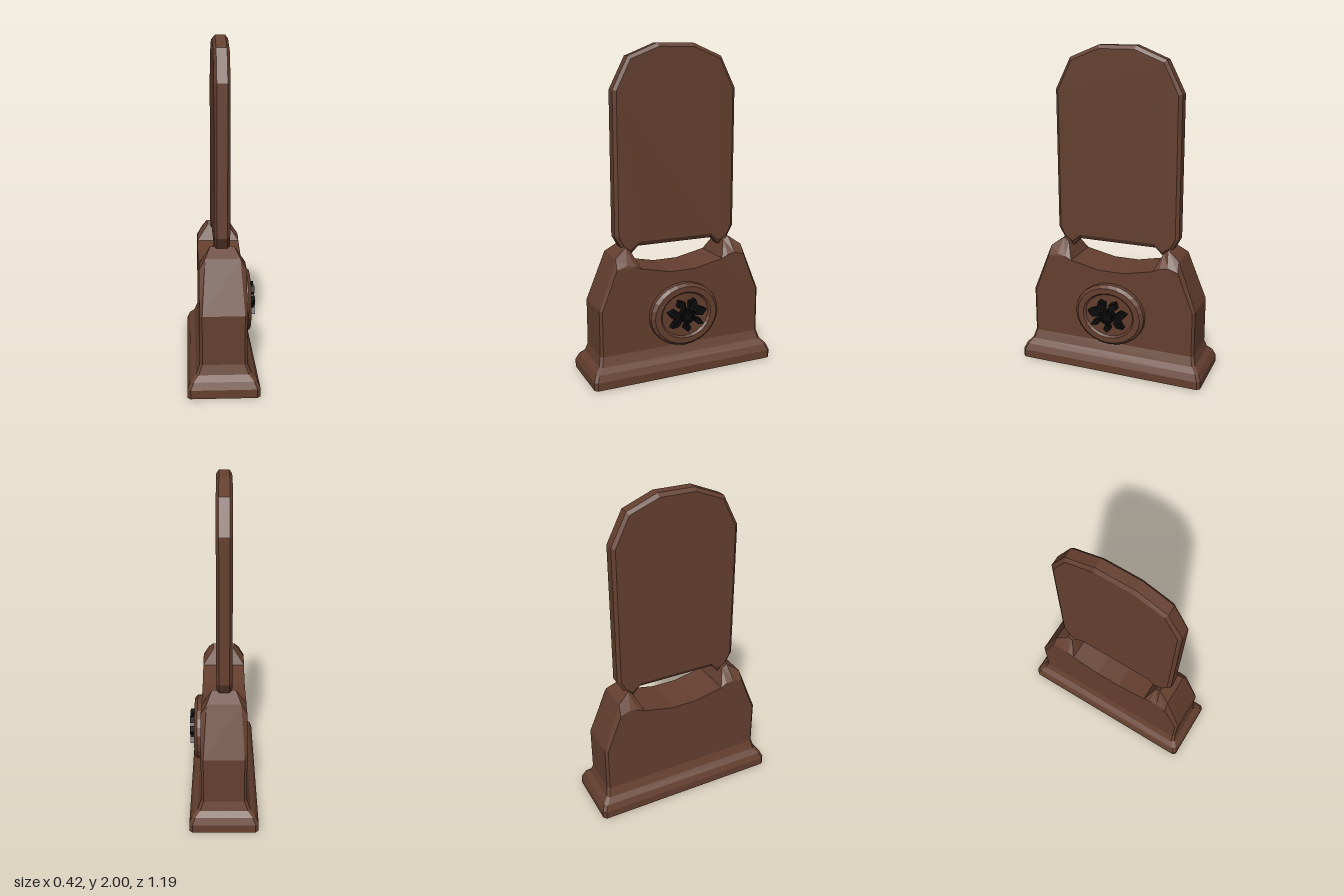
import * as THREE from 'three';

const CX = -0.006; // the stone sits slightly off centre to balance the medallion

// Joins rings of [u, v, w] points into a closed solid; w runs along the given axis.
function loft(rings, axis) {
  const place = ([u, v, w]) => (axis === 'x' ? [w, v, u] : [u, w, v]);
  const pos = [];
  const tri = (...pts) => {
    const [a, b, c] = pts.map((p) => new THREE.Vector3(...place(p)));
    if (b.clone().sub(a).cross(c.clone().sub(a)).length() < 1e-8) return;
    for (const p of [a, b, c]) pos.push(p.x, p.y, p.z);
  };
  for (let k = 0; k < rings.length - 1; k++) {
    const a = rings[k], b = rings[k + 1];
    a.forEach((_, i) => {
      const j = (i + 1) % a.length;
      tri(a[i], b[i], b[j]);
      tri(a[i], b[j], a[j]);
    });
  }
  const first = rings[0], last = rings[rings.length - 1];
  const cap = (ring) => THREE.ShapeUtils.triangulateShape(ring.map(([u, v]) => new THREE.Vector2(u, v)), []);
  for (const [a, b, c] of cap(first)) tri(first[a], first[b], first[c]);
  for (const [a, b, c] of cap(last)) tri(last[c], last[b], last[a]);
  const g = new THREE.BufferGeometry();
  g.setAttribute('position', new THREE.Float32BufferAttribute(pos, 3));
  g.computeVertexNormals();
  return g;
}

// Upright slab with chamfered rim: half outlines [z, y, halfThickness] mirrored in z.
function chamferedSlab(edge, face) {
  const mirror = (half) => [...half, ...half.map(([z, y, w]) => [-z, y, w]).reverse()];
  const flip = (ring) => ring.map(([z, y, w]) => [z, y, -w]);
  const e = mirror(edge), f = mirror(face);
  return loft([flip(f), flip(e), e, f], 'x');
}

export function createModel() {
  const group = new THREE.Group();
  const brown = new THREE.MeshStandardMaterial({ color: 0x643f2f });
  brown.name = 'brownStone';
  brown.flatShading = true;
  const black = new THREE.MeshStandardMaterial({ color: 0x0a0a0a });
  black.name = 'blackInlay';
  black.flatShading = true;
  const add = (name, geometry, material, x, y = 0, parent = group) => {
    const mesh = new THREE.Mesh(geometry, material);
    mesh.name = name;
    mesh.position.set(x, y, 0);
    parent.add(mesh);
    return mesh;
  };

  // Flared plinth: rectangles with cut corners, [y, half width, half length, cut]
  const plinthRings = [
    [0, 0.205, 0.597, 0.018], [0.05, 0.205, 0.597, 0.018], [0.09, 0.188, 0.58, 0.018],
    [0.12, 0.157, 0.55, 0.016], [0.175, 0.135, 0.535, 0.015],
  ].map(([y, a, b, c]) => [
    [a, -b + c], [a, b - c], [a - c, b], [-a + c, b],
    [-a, b - c], [-a, -b + c], [-a + c, -b], [a - c, -b],
  ].map(([x, z]) => [x, z, y]));
  add('plinth', loft(plinthRings, 'y'), brown, CX);

  // Body with two horns and a saddle between them
  add('body', chamferedSlab(
    [[0.535, 0.17, 0.12], [0.535, 0.46, 0.12], [0.42, 0.76, 0.1], [0.345, 0.814, 0.07],
      [0.315, 0.79, 0.065], [0.27, 0.69, 0.135], [0.08, 0.65, 0.135]],
    [[0.52, 0.17, 0.135], [0.52, 0.457, 0.135], [0.425, 0.7, 0.135], [0.36, 0.72, 0.132],
      [0.31, 0.71, 0.135], [0.27, 0.69, 0.135], [0.08, 0.65, 0.135]],
  ), brown, CX);

  // Tall tablet standing on the horns
  add('tablet', chamferedSlab(
    [[0.25, 0.805, 0.03], [0.3, 0.755, 0.03], [0.36, 0.805, 0.03], [0.397, 0.87, 0.03],
      [0.397, 1.735, 0.03], [0.3, 1.925, 0.03], [0.115, 2, 0.03]],
    [[0.24, 0.832, 0.046], [0.3, 0.785, 0.046], [0.345, 0.815, 0.046], [0.377, 0.876, 0.046],
      [0.377, 1.73, 0.046], [0.288, 1.908, 0.046], [0.11, 1.978, 0.046]],
  ), brown, -0.008);

  // Oval medallion with a raised rim
  const profile = [[0.225, -0.01], [0.225, 0.03], [0.205, 0.049], [0.167, 0.049], [0.155, 0.036], [0, 0.036]];
  const disc = new THREE.LatheGeometry(profile.map(([r, h]) => new THREE.Vector2(r, h)), 24);
  disc.rotateZ(-Math.PI / 2);
  disc.scale(1, 0.88, 1);
  add('medallion', disc, brown, 0.13, 0.377);

  // Sunburst inlay on the medallion
  const inlay = new THREE.Group();
  inlay.name = 'sunburst';
  inlay.position.set(0.16, 0.377, 0);
  group.add(inlay);
  const raise = (shape) => new THREE.ExtrudeGeometry(shape, { depth: 0.048, bevelEnabled: false, curveSegments: 10 })
    .rotateY(Math.PI / 2);
  const ring = new THREE.Shape().absarc(0, 0, 0.046, 0, Math.PI * 2);
  ring.holes.push(new THREE.Path().absarc(0, 0, 0.036, 0, Math.PI * 2, true));
  add('sunburstRing', raise(ring), black, 0, 0, inlay);
  add('sunburstCentre', raise(new THREE.Shape().absarc(0, 0, 0.029, 0, Math.PI * 2)), black, 0, 0, inlay);

  // Petals: angle in degrees, tip radius, half width
  const petals = [[270, 0.1, 0.022]];
  for (const [angle, tip, w] of [[62, 0.114, 0.028], [13, 0.13, 0.028], [-30, 0.124, 0.018]]) {
    petals.push([angle, tip, w], [180 - angle, tip, w]);
  }
  for (const [angle, tip, w] of petals) {
    const mid = 0.055 + (tip - 0.055) * 0.5;
    const petal = new THREE.Shape([[0.052, -0.01], [mid, -w], [tip, 0], [mid, w], [0.052, 0.01]]
      .map(([u, v]) => new THREE.Vector2(u, v).rotateAround(new THREE.Vector2(), THREE.MathUtils.degToRad(angle))));
    add('sunburstPetal', raise(petal), black, 0, 0, inlay);
  }
  return group;
}
